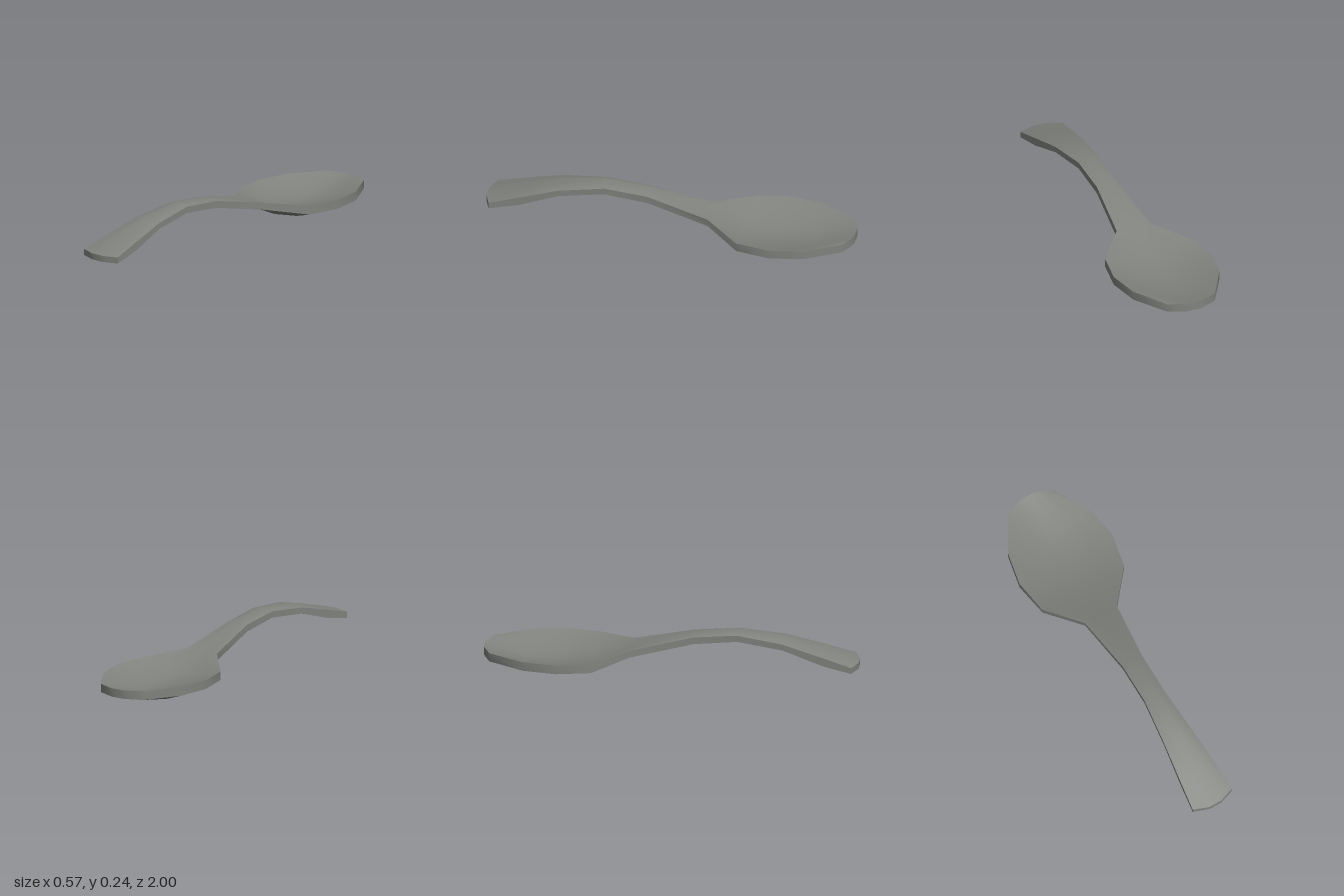
import * as THREE from 'three';
import { toCreasedNormals } from 'three/addons/utils/BufferGeometryUtils.js';

// Cross-sections from handle end to bowl tip:
// z, half width, rim top, rim bottom, centre top, centre bottom, end rounding in z
const STATIONS = [
  [1.0, 0.12, 0.1, 0.067, 0.1, 0.067, -0.03],
  [0.81, 0.105, 0.146, 0.1, 0.156, 0.1, 0],
  [0.6, 0.083, 0.203, 0.17, 0.215, 0.168, 0],
  [0.355, 0.06, 0.235, 0.2, 0.246, 0.203, 0],
  [0.12, 0.06, 0.215, 0.177, 0.223, 0.18, 0],
  [-0.215, 0.097, 0.139, 0.1, 0.135, 0.1, 0],
  [-0.405, 0.25, 0.108, 0.062, 0.065, 0.016, 0],
  [-0.59, 0.283, 0.108, 0.06, 0.05, 0.008, 0],
  [-0.77, 0.25, 0.108, 0.06, 0.05, 0.003, 0],
  [-1.0, 0.138, 0.108, 0.062, 0.108, 0.062, 0.04],
];
const COLUMNS = [-1, -0.63, -0.3, 0, 0.3, 0.63, 1];

function spoonGeometry() {
  const rows = STATIONS.length, cols = COLUMNS.length, count = rows * cols;
  const top = [], bottom = [], index = [];
  for (const [z, w, rimTop, rimBottom, midTop, midBottom, bend] of STATIONS) {
    for (const u of COLUMNS) {
      const a = Math.abs(u);
      const zz = z + bend * Math.max(0, (a - 0.3) / 0.7);
      // bowls dip towards the middle, the handle is slightly crowned
      const kTop = midTop > rimTop ? a ** 3 : a ** 1.6;
      const kBottom = a < 0.64 ? a * 0.7 : 0.44 + (a - 0.63) * 1.51;
      top.push(u * w, THREE.MathUtils.lerp(midTop, rimTop, kTop), zz);
      bottom.push(u * w, THREE.MathUtils.lerp(midBottom, rimBottom, kBottom), zz);
    }
  }
  // upper and lower skins
  for (let i = 0; i < rows - 1; i++) {
    for (let j = 0; j < cols - 1; j++) {
      const a = i * cols + j, b = a + 1, c = a + cols, d = c + 1;
      index.push(a, b, c, b, d, c);
      index.push(count + a, count + c, count + b, count + b, count + c, count + d);
    }
  }
  // wall around the outline
  const rim = [];
  for (let j = 0; j < cols - 1; j++) rim.push(j);
  for (let i = 0; i < rows - 1; i++) rim.push(i * cols + cols - 1);
  for (let j = cols - 1; j > 0; j--) rim.push((rows - 1) * cols + j);
  for (let i = rows - 1; i > 0; i--) rim.push(i * cols);
  rim.forEach((p, k) => {
    const q = rim[(k + 1) % rim.length];
    index.push(count + p, count + q, p, count + q, q, p);
  });
  const geometry = new THREE.BufferGeometry();
  geometry.setAttribute('position', new THREE.Float32BufferAttribute([...top, ...bottom], 3));
  geometry.setIndex(index);
  return toCreasedNormals(geometry, 0.8);
}

export function createModel() {
  const group = new THREE.Group();
  group.name = 'spoon';
  const metal = new THREE.MeshStandardMaterial({ color: 0x80837e });
  metal.name = 'grey metal';

  // handle and bowl are one continuous piece
  const spoon = new THREE.Mesh(spoonGeometry(), metal);
  spoon.name = 'handleAndBowl';
  group.add(spoon);
  return group;
}
